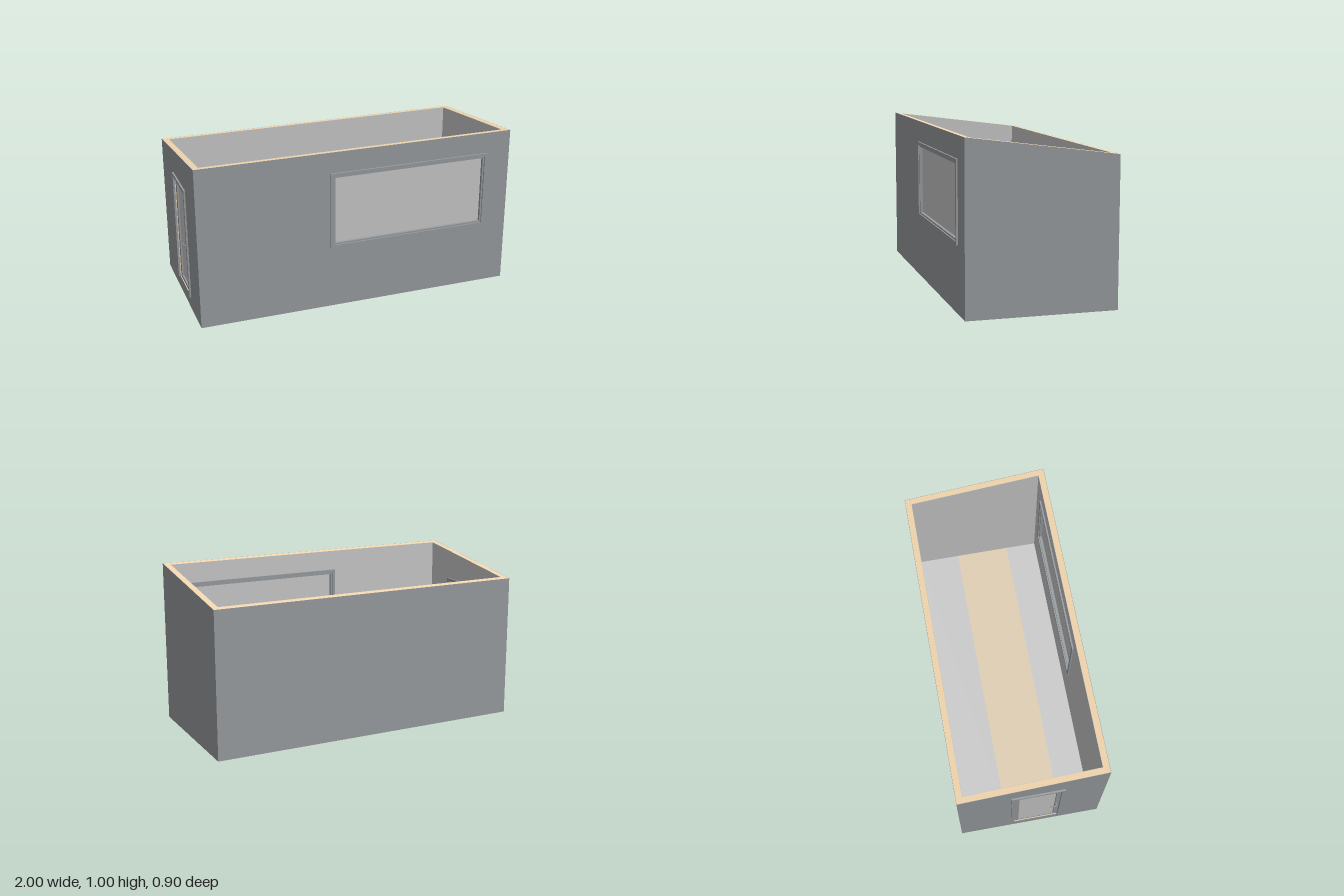
import * as THREE from 'three';

const GREY = 0xcccccc, CLAD = 0x9a9fa2, TIMBER = 0xf6d9b0, PLANK = 0xe1cfb4;
const SKIN = 0.002;
const L = -0.98, R = 1.0, B = -0.45, F = 0.44;       // outer faces
const IL = -0.94, IR = 0.96, IB = -0.41, IF = 0.40;  // inner faces
const roofLine = z => 1 - (F - z) * 0.129;

function rect(target, [a, b, y0, y1]) {
  target.moveTo(a, y0);
  target.lineTo(b, y0);
  target.lineTo(b, y1);
  target.lineTo(a, y1);
  target.closePath();
  return target;
}

// Upright slab from d0 to d1 along z (or along x), with optional opening.
// For x slabs the outline runs along z.
function slab(name, axis, outline, d0, d1, color, hole) {
  const flip = ([a, b, y0, y1]) => (axis === 'x' ? [-b, -a, y0, y1] : [a, b, y0, y1]);
  const shape = rect(new THREE.Shape(), flip(outline));
  if (hole) shape.holes.push(rect(new THREE.Path(), flip(hole)));
  const geo = new THREE.ExtrudeGeometry(shape, { depth: d1 - d0, bevelEnabled: false });
  geo.translate(0, 0, d0);
  if (axis === 'x') geo.rotateY(Math.PI / 2);
  const mesh = new THREE.Mesh(geo, new THREE.MeshStandardMaterial({ color }));
  mesh.name = name;
  return mesh;
}

// Full-height slab whose top edge follows the sloping roof line
function wallLayer(name, axis, a, b, d0, d1, color, hole) {
  const mesh = slab(name, axis, [a, b, 0, 1], d0, d1, color, hole);
  const p = mesh.geometry.attributes.position;
  for (let i = 0; i < p.count; i++) {
    if (p.getY(i) > 0.99) p.setY(i, roofLine(p.getZ(i)));
  }
  mesh.geometry.computeVertexNormals();
  return mesh;
}

function box(name, x0, x1, y0, y1, z0, z1, color) {
  const mesh = new THREE.Mesh(new THREE.BoxGeometry(x1 - x0, y1 - y0, z1 - z0),
    new THREE.MeshStandardMaterial({ color }));
  mesh.position.set((x0 + x1) / 2, (y0 + y1) / 2, (z0 + z1) / 2);
  mesh.name = name;
  return mesh;
}

function group(name, ...parts) {
  const g = new THREE.Group();
  g.name = name;
  g.add(...parts);
  return g;
}

// Wall of three layers: cladding outside, timber core, lining inside
function wall(name, axis, outer, inner, out, inn, hole) {
  const s = Math.sign(out - inn) * SKIN;
  const core = axis === 'z' ? [outer[0] + SKIN, outer[1] - SKIN] : [inner[0] - SKIN, inner[1] + SKIN];
  const layer = (part, [a, b], p, q, color) =>
    wallLayer(part, axis, a, b, Math.min(p, q), Math.max(p, q), color, hole);
  return group(name,
    layer('cladding', outer, out - s, out, CLAD),
    layer('core', core, inn + s, out - s, TIMBER),
    layer('lining', inner, inn, inn + s, GREY));
}

function makeWindow() {
  const hole = [-0.15, 0.83, 0.41, 0.85], pane = [-0.14, 0.82, 0.42, 0.84];
  const casing = [-0.17, 0.85, 0.39, 0.87];
  return group('window',
    slab('outerCasing', 'z', casing, F, F + 0.01, CLAD, hole),
    slab('innerCasing', 'z', casing, IF - 0.01, IF, CLAD, hole),
    slab('sash', 'z', hole, IF - 0.002, F + 0.002, CLAD, pane),
    slab('glass', 'z', pane, 0.415, 0.425, GREY));
}

function makeDoor() {
  const hole = [-0.11, 0.17, 0.08, 0.76], pane = [-0.08, 0.145, 0.1, 0.74];
  const door = group('door',
    slab('doorFrame', 'x', hole, L + 0.006, IL - 0.006, CLAD, pane),
    slab('doorGlass', 'x', pane, -0.965, -0.955, GREY));
  // Casing on both faces: two legs and a head
  for (const [x0, x1] of [[L - 0.01, L], [IL, IL + 0.01]]) {
    door.add(box('casingLeg', x0, x1, 0.08, 0.76, -0.13, -0.11, CLAD),
      box('casingLeg', x0, x1, 0.08, 0.76, 0.17, 0.19, CLAD),
      box('casingHead', x0, x1, 0.76, 0.78, -0.13, 0.19, CLAD));
  }
  // Lever handles on both faces
  for (const [from, to] of [[-0.97, -0.996], [-0.95, -0.924]]) {
    const path = new THREE.CatmullRomCurve3([
      [from, 0.15], [to + (from - to) * 0.3, 0.15], [to, 0.142], [to, 0.11],
    ].map(([x, z]) => new THREE.Vector3(x, 0.41, z)));
    const lever = new THREE.Mesh(new THREE.TubeGeometry(path, 16, 0.004, 8),
      new THREE.MeshStandardMaterial({ color: CLAD, side: THREE.DoubleSide }));
    lever.name = 'doorHandle';
    door.add(lever);
  }
  return door;
}

export function createModel() {
  return group('cabin',
    wall('frontWall', 'z', [L, R], [IL, IR], F, IF, [-0.15, 0.83, 0.41, 0.85]),
    wall('backWall', 'z', [L, R], [IL, IR], B, IB),
    wall('leftWall', 'x', [B, F], [IB, IF], R, IR),
    wall('rightWall', 'x', [B, F], [IB, IF], L, IL, [-0.11, 0.17, 0.08, 0.76]),
    // Floor deck with boards and a central timber strip
    group('floor',
      box('floorBase', IL, IR, 0.03, 0.036, IB, IF, CLAD),
      box('floorBoardBack', IL, IR, 0.036, 0.04, IB, -0.15, GREY),
      box('floorStrip', IL, IR, 0.036, 0.04, -0.15, 0.2, PLANK),
      box('floorBoardFront', IL, IR, 0.036, 0.04, 0.2, IF, GREY)),
    makeWindow(),
    makeDoor());
}
